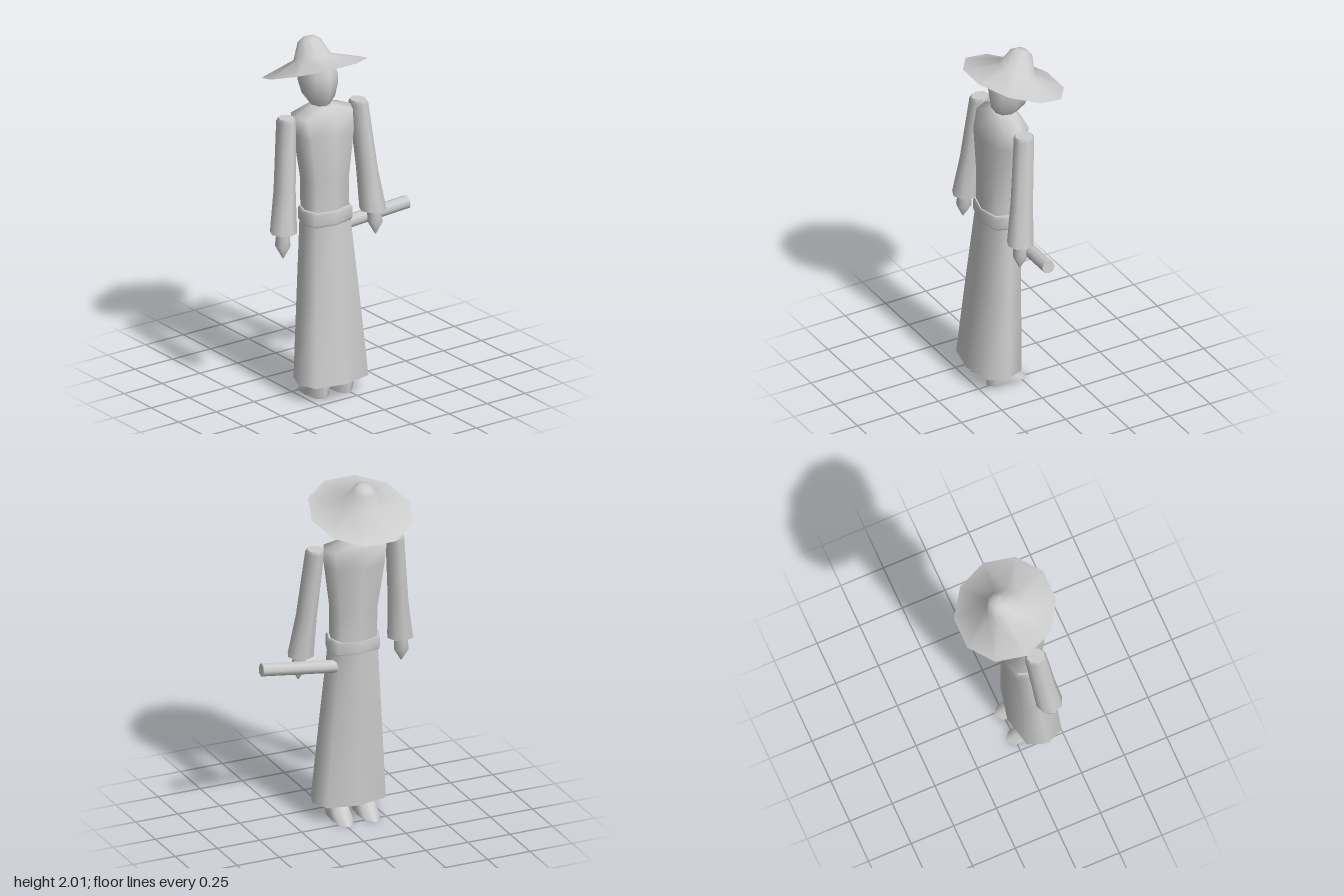
import * as THREE from 'three';
import { toCreasedNormals } from 'three/addons/utils/BufferGeometryUtils.js';

const CX = -0.09; // centre line of the figure

// Eight-sided loft through rings [x, y, z, halfWidth, halfDepth], listed bottom to top.
// kx and kz place the diagonal corners, so larger values look squarer.
function loft(rings, kx = 0.707, kz = 0.707) {
  const corners = [[0, 1], [kx, kz], [1, 0], [kx, -kz], [0, -1], [-kx, -kz], [-1, 0], [-kx, kz]];
  const pos = [], index = [];
  const addRing = ([x, y, z, rx, rz]) => {
    const start = pos.length / 3;
    corners.forEach(([u, v]) => pos.push(x + u * rx, y, z + v * rz));
    return start;
  };
  const starts = rings.map(addRing);
  for (let i = 0; i < rings.length - 1; i++) {
    for (let j = 0; j < 8; j++) {
      const k = (j + 1) % 8;
      const a = starts[i] + j, b = starts[i] + k, c = starts[i + 1] + j, d = starts[i + 1] + k;
      index.push(a, b, d, a, d, c);
    }
  }
  // flat caps with their own corners
  const low = addRing(rings[0]), high = addRing(rings[rings.length - 1]);
  for (let j = 1; j < 7; j++) {
    index.push(low, low + j + 1, low + j, high, high + j, high + j + 1);
  }
  const g = new THREE.BufferGeometry();
  g.setAttribute('position', new THREE.Float32BufferAttribute(pos, 3));
  g.setIndex(index);
  g.computeVertexNormals();
  return g;
}

export function createModel() {
  const model = new THREE.Group();
  const grey = new THREE.MeshStandardMaterial({ color: 0xcccccc });
  grey.name = 'plain grey';

  const add = (name, geometry) => {
    const mesh = new THREE.Mesh(geometry, grey);
    mesh.name = name;
    model.add(mesh);
    return mesh;
  };

  // Robe
  add('skirt', loft([
    [CX, 0.095, 0.135, 0.215, 0.14],
    [CX, 0.55, 0.108, 0.178, 0.123],
    [CX, 1.0, 0.08, 0.14, 0.105],
  ], 0.81, 0.73));
  add('belt', loft([
    [CX, 0.985, 0.082, 0.143, 0.104],
    [CX, 1.0, 0.082, 0.152, 0.11],
    [CX, 1.055, 0.082, 0.152, 0.11],
    [CX, 1.07, 0.082, 0.143, 0.104],
  ], 0.81, 0.73));
  add('torso', loft([
    [CX, 1.04, 0.078, 0.132, 0.102],
    [CX, 1.24, 0.075, 0.134, 0.104],
    [CX, 1.5, 0.065, 0.175, 0.116],
    [CX, 1.605, 0.05, 0.188, 0.1],
    [CX, 1.645, 0.04, 0.05, 0.065],
  ], 0.81, 0.73));

  // Arms, hands and feet, mirrored about the centre line
  for (const [side, s] of [['left', 1], ['right', -1]]) {
    add(side + 'Sleeve', loft([
      [CX + s * 0.295, 0.99, 0.11, 0.074, 0.074],
      [CX + s * 0.272, 1.22, 0.088, 0.056, 0.066],
      [CX + s * 0.238, 1.6, 0.055, 0.051, 0.06],
      [CX + s * 0.236, 1.62, 0.055, 0.042, 0.05],
    ]));
    add(side + 'Hand', loft([
      [CX + s * 0.305, 0.845, 0.12, 0.003, 0.003],
      [CX + s * 0.304, 0.915, 0.115, 0.043, 0.042],
      [CX + s * 0.3, 1.0, 0.112, 0.035, 0.035],
    ]));
    add(side + 'Foot', loft([
      [CX + s * 0.078, 0, 0.073, 0.05, 0.123],
      [CX + s * 0.078, 0.03, 0.094, 0.054, 0.102],
      [CX + s * 0.078, 0.11, 0.145, 0.05, 0.05],
    ], 0.85, 0.72));
  }

  // Head
  add('head', loft([
    [CX, 1.635, 0.03, 0.045, 0.055],
    [CX, 1.69, 0.018, 0.083, 0.102],
    [CX, 1.76, 0.014, 0.103, 0.118],
    [CX, 1.82, 0.013, 0.106, 0.114],
    [CX, 1.88, 0.01, 0.09, 0.09],
  ]));

  // Nose: a small four-sided wedge
  const nose = new THREE.ConeGeometry(0.028, 0.07, 4, 1).toNonIndexed();
  nose.translate(0, 0.035, 0);
  const p = nose.attributes.position;
  for (let i = 0; i < p.count; i++) p.setZ(i, p.getZ(i) + p.getY(i) * 0.2);
  nose.computeVertexNormals();
  add('nose', nose).position.set(CX, 1.683, -0.106);

  // Hat: shallow cone brim and tapered crown, tipped downwards over the face
  const profile = [[0, 0], [0.29, 0], [0.103, 0.062], [0.063, 0.152], [0.032, 0.175], [0, 0.177]]
    .map(([r, y]) => new THREE.Vector2(r, y));
  const hat = add('hat', toCreasedNormals(new THREE.LatheGeometry(profile, 10, Math.PI / 2), 1.2));
  hat.position.set(CX, 1.83, -0.017);
  hat.rotation.x = -0.33;

  // Rod held at the waist
  const from = new THREE.Vector3(0, 0.913, 0.042), to = new THREE.Vector3(0.453, 0.96, 0.078);
  const axis = to.clone().sub(from);
  const rod = add('rod', new THREE.CylinderGeometry(0.037, 0.037, axis.length(), 8));
  rod.position.copy(from).add(to).multiplyScalar(0.5);
  rod.quaternion.setFromUnitVectors(new THREE.Vector3(0, 1, 0), axis.normalize());

  return model;
}
